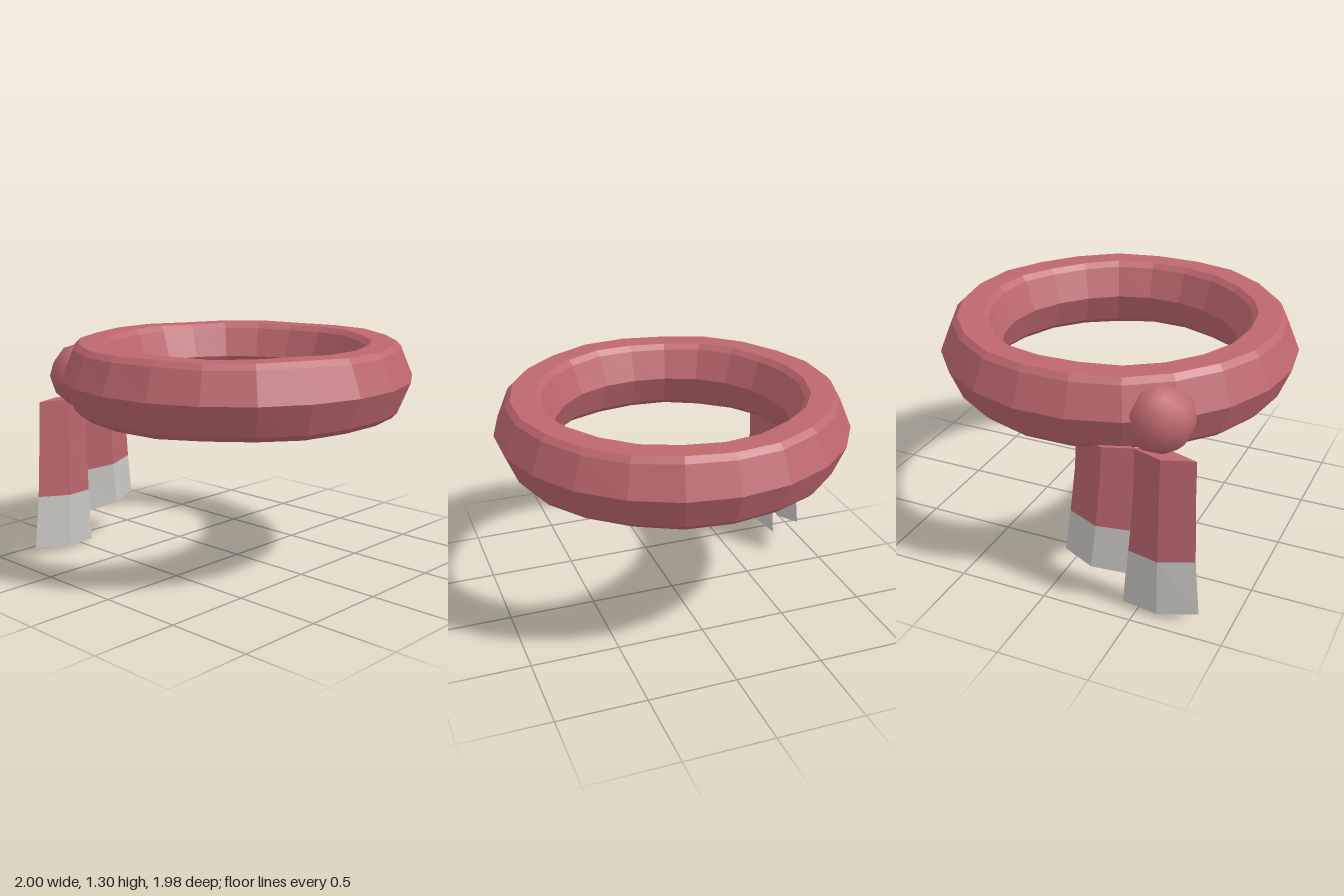
import * as THREE from 'three';

const wool = new THREE.MeshStandardMaterial({ color: 0xbd676e });
wool.name = 'red wool';
const trim = new THREE.MeshStandardMaterial({ color: 0xcbc9c4 });
trim.name = 'pale grey trim';

function addMesh(parent, name, geometry, material) {
  const mesh = new THREE.Mesh(geometry, material);
  mesh.name = name;
  parent.add(mesh);
  return mesh;
}

// Faceted normals for a geometry
function faceted(geometry) {
  const flat = geometry.index ? geometry.toNonIndexed() : geometry;
  flat.computeVertexNormals();
  return flat;
}

// Neck loop: bevelled hexagonal section swept round 22 sides, slightly wavy
function loopGeometry() {
  const profile = [
    [0.67, 0], [0.735, -0.17], [0.765, -0.2], [0.9, -0.2], [0.93, -0.17],
    [1, 0], [0.93, 0.17], [0.9, 0.2], [0.765, 0.2], [0.735, 0.17], [0.67, 0],
  ].map(([r, y]) => new THREE.Vector2(r, y));
  const geo = new THREE.LatheGeometry(profile, 22, Math.PI / 2);
  const pos = geo.attributes.position;
  for (let i = 0; i < pos.count; i++) {
    const x = pos.getX(i), y = pos.getY(i), z = pos.getZ(i);
    const angle = Math.atan2(z, x);
    pos.setY(i, y * (0.99 + 0.02 * Math.sin(7 * angle)));
    if (Math.hypot(x, z) < 0.8) {
      const s = 1 + 0.008 * Math.sin(5 * angle + 1);
      pos.setX(i, x * s);
      pos.setZ(i, z * s);
    }
  }
  return faceted(geo);
}

// Diamond-section strip; each station is [leftX, leftY, rightX, rightY, z]
function stripGeometry(stations) {
  const depth = 0.057;
  const rings = stations.map(([x0, y0, x1, y1, z]) => {
    const mx = (x0 + x1) / 2, my = (y0 + y1) / 2;
    return [[x0, y0, z], [mx, my, z + depth], [x1, y1, z], [mx, my, z - depth]];
  });
  const out = [];
  const quad = (a, b, c, d) => out.push(...a, ...b, ...c, ...a, ...c, ...d);
  for (let i = 0; i < rings.length - 1; i++) {
    const up = rings[i], low = rings[i + 1];
    for (let k = 0; k < 4; k++) {
      const n = (k + 1) % 4;
      quad(up[k], low[k], low[n], up[n]);
    }
  }
  const top = rings[0], end = rings[rings.length - 1];
  quad(top[0], top[1], top[2], top[3]);
  quad(end[3], end[2], end[1], end[0]);
  const geo = new THREE.BufferGeometry();
  geo.setAttribute('position', new THREE.Float32BufferAttribute(out, 3));
  return faceted(geo);
}

// Hanging end: wool strip followed by a pale tip
function addTail(parent, name, stations) {
  const tail = new THREE.Group();
  tail.name = name;
  addMesh(tail, 'woolStrip', stripGeometry(stations.slice(0, -1)), wool);
  addMesh(tail, 'paleTip', stripGeometry(stations.slice(-2)), trim);
  parent.add(tail);
}

export function createModel() {
  const scarf = new THREE.Group();
  scarf.name = 'scarf';

  addMesh(scarf, 'neckLoop', loopGeometry(), wool).position.y = 1.1;

  // Knot on the outside of the loop
  const knot = addMesh(scarf, 'knot', new THREE.IcosahedronGeometry(0.19, 1), wool);
  knot.position.set(-0.54, 1.075, -0.73);

  addTail(scarf, 'longTail', [
    [-0.78, 0.93, -0.44, 0.93, -0.835],
    [-0.785, 0.7, -0.44, 0.68, -0.845],
    [-0.8, 0.36, -0.425, 0.33, -0.857],
    [-0.83, 0.05, -0.405, 0.005, -0.867],
  ]);
  addTail(scarf, 'shortTail', [
    [-0.46, 0.93, -0.13, 0.93, -0.835],
    [-0.455, 0.72, -0.125, 0.75, -0.845],
    [-0.44, 0.455, -0.1, 0.49, -0.857],
    [-0.42, 0.19, -0.07, 0.25, -0.867],
  ]);

  return scarf;
}
